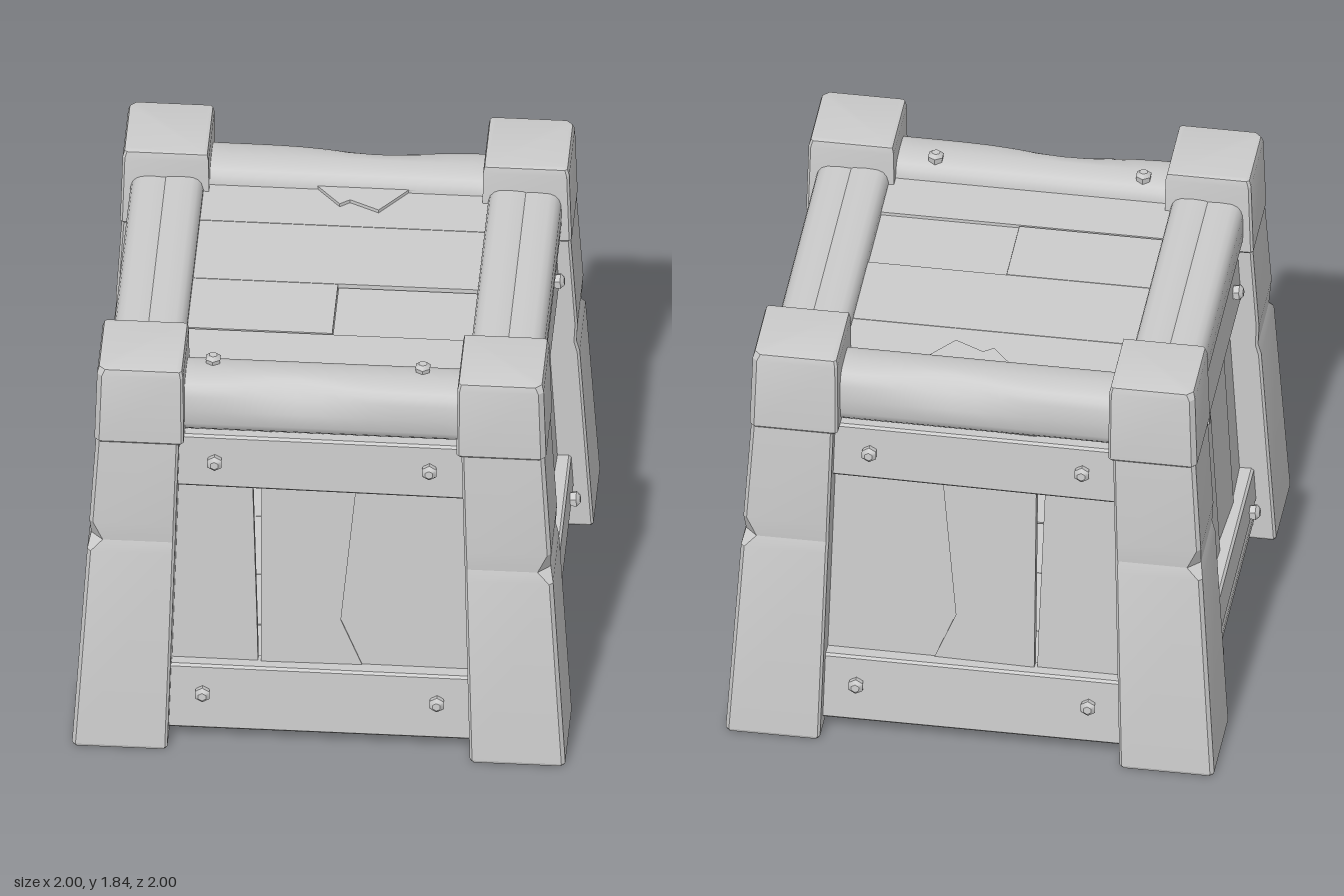
import * as THREE from 'three';
import { toCreasedNormals, mergeGeometries } from 'three/addons/utils/BufferGeometryUtils.js';

const wood = new THREE.MeshStandardMaterial({ color: 0xcccccc });
wood.name = 'pale grey';

function add(parent, name, geo) {
  const m = new THREE.Mesh(geo, wood);
  m.name = name;
  parent.add(m);
  return m;
}

// Closed skin over rings of [x, y, z] points, sharp where faces meet steeply
function loft(rings, crease) {
  const n = rings[0].length, idx = [];
  for (let r = 0; r < rings.length - 1; r++) {
    for (let j = 0; j < n; j++) {
      const a = r * n + j, b = r * n + (j + 1) % n;
      idx.push(a, b, b + n, a, b + n, a + n);
    }
  }
  const top = (rings.length - 1) * n;
  for (let j = 1; j < n - 1; j++) {
    idx.push(0, j + 1, j, top, top + j, top + j + 1);
  }
  const g = new THREE.BufferGeometry();
  g.setAttribute('position', new THREE.Float32BufferAttribute(rings.flat(2), 3));
  g.setIndex(idx);
  return toCreasedNormals(g, crease);
}

// Square corner section: i = inner side, o = outer side, c = cut on the outer edge
function corner(y, i, o, c) {
  const b = 0.01;
  return [[i, i], [i, o - b], [i + b, o], [o - c, o], [o, o - c], [o, i + b], [o - b, i]]
    .map(([x, z]) => [x, y, z]);
}

// Rounded beam along x, with an optional dent in its upper outer side
function beam(half, y, z, hy, hz, dent = 0) {
  const rings = [], soft = v => Math.sign(v) * Math.pow(Math.abs(v), 0.55);
  for (let s = 0; s <= 12; s++) {
    const x = half * (s / 6 - 1);
    const k = dent * Math.exp(-(((x + 0.12) / 0.22) ** 2));
    const ring = [];
    for (let j = 0; j < 20; j++) {
      const a = j / 20 * Math.PI * 2;
      const out = Math.max(0, Math.sin(2 * a)) * (a < Math.PI ? 1 : 0);
      ring.push([x, y + hy * soft(Math.cos(a)), z + hz * soft(Math.sin(a)) - k * out]);
    }
    rings.push(ring);
  }
  return loft(rings, 0.8);
}

// Flat board from an outline in x and y, front surface at z = 0
function board(points, depth, bevel = 0) {
  const shape = new THREE.Shape(points.map(p => new THREE.Vector2(...p)));
  const g = new THREE.ExtrudeGeometry(shape, {
    depth: depth - bevel, bevelEnabled: bevel > 0, bevelSegments: 1,
    bevelThickness: bevel, bevelSize: bevel, bevelOffset: -bevel
  });
  return g.translate(0, 0, -depth);
}

// Six-sided bolt head pointing along +z
function boltGeometry() {
  const shank = new THREE.CylinderGeometry(0.034, 0.03, 0.03, 6).translate(0, 0.01, 0);
  const dome = new THREE.CylinderGeometry(0.018, 0.034, 0.015, 6).translate(0, 0.0325, 0);
  return toCreasedNormals(mergeGeometries([shank, dome]).rotateX(Math.PI / 2), 0.8);
}

// Wall planks: outline, twist about the upright axis, and setback
const LOW = 0.08, HIGH = 1.5;
const frontPlanks = [
  { pts: [[-0.64, LOW], [-0.25, LOW], [-0.258, 0.5], [-0.28, 1.23], [-0.28, HIGH], [-0.62, HIGH]], tilt: 0, back: 0 },
  { pts: [[-0.243, LOW], [0.17, LOW], [0.165, 0.37], [0.08, 0.58], [0.14, 1.23], [0.14, HIGH], [-0.245, HIGH]], tilt: 0.02, back: 0 },
  { pts: [[0.06, LOW], [0.64, LOW], [0.62, HIGH], [0.06, HIGH]], tilt: 0, back: 0.008 }
];
const sidePlanks = [
  { pts: [[-0.64, LOW], [-0.38, LOW], [-0.38, HIGH], [-0.62, HIGH]], tilt: -0.03, back: 0 },
  { pts: [[-0.368, LOW], [-0.03, LOW], [-0.03, HIGH], [-0.374, HIGH]], tilt: 0.06, back: 0 },
  { pts: [[-0.04, LOW], [0.32, LOW], [0.32, HIGH], [-0.035, HIGH]], tilt: 0.04, back: 0 },
  { pts: [[0.31, LOW], [0.64, LOW], [0.62, HIGH], [0.31, HIGH]], tilt: -0.03, back: 0.005 }
];

function wall(name, planks, mirrored, isSide) {
  const face = new THREE.Group();
  face.name = name;
  // Sloping boards, rails and bolts
  const slope = new THREE.Group();
  slope.name = name + 'Slope';
  slope.position.z = 0.93;
  slope.rotation.x = -0.055;
  face.add(slope);
  planks.forEach(({ pts, tilt, back }) => {
    const p = mirrored ? pts.map(([x, y]) => [-x, y]).reverse() : pts;
    const mid = p.reduce((s, q) => s + q[0], 0) / p.length;
    const m = add(slope, 'wallPlank', board(p.map(([x, y]) => [x - mid, y]), 0.04));
    m.position.set(mid, 0, -0.055 - back);
    m.rotation.y = mirrored ? -tilt : tilt;
  });
  const low = isSide ? 0.2 : 0.06;
  add(slope, 'lowerRail', board([[-0.66, low], [0.66, low], [0.65, 0.365], [-0.65, 0.37]], 0.09, 0.01));
  add(slope, 'upperRail', board([[-0.62, 1.24], [0.62, 1.23], [0.62, 1.485], [-0.62, 1.49]], 0.09, 0.01));
  for (const [x, y] of [[-0.475, 0.24], [0.475, 0.24], [-0.43, 1.37], [0.44, 1.37]]) {
    add(slope, 'bolt', boltGeometry()).position.set(x, y, 0);
  }
  // Rounded beams at the top and bottom edges
  if (isSide) {
    add(face, 'topInnerBeam', beam(0.6, 1.61, 0.67, 0.12, 0.095));
    add(face, 'topOuterBeam', beam(0.6, 1.605, 0.775, 0.12, 0.1));
    add(face, 'bottomBeam', beam(0.66, 0.125, 0.78, 0.085, 0.13));
  } else {
    add(face, 'topBeam', beam(0.6, 1.605, 0.72, 0.125, 0.122, 0.04));
    add(face, 'bottomBeam', beam(0.66, 0.12, 0.75, 0.08, 0.12));
  }
  return face;
}

// Planks of the lid and floor as [x0, x1, z0, z1, sink], one snapped in two
function deck(parent, name, surface, facing) {
  const planks = [
    [-0.64, 0.64, -0.68, -0.363, 0], [-0.64, 0.64, -0.36, 0.025, 0],
    [-0.64, 0.01, 0.028, 0.357, 0], [0.013, 0.64, 0.035, 0.362, 0.012],
    [-0.64, 0.64, 0.365, 0.68, 0]
  ];
  for (const [x0, x1, z0, z1, sink] of planks) {
    add(parent, name, new THREE.BoxGeometry(x1 - x0, 0.06, z1 - z0))
      .position.set((x0 + x1) / 2, surface - facing * (sink + 0.03), (z0 + z1) / 2);
  }
}

export function createModel() {
  const crate = new THREE.Group();
  crate.name = 'woodenCrate';

  // Four walls
  ['front', 'right', 'back', 'left'].forEach((side, k) => {
    const isSide = k % 2 === 1;
    const w = wall(side + 'Wall', isSide ? sidePlanks : frontPlanks, k > 1, isSide);
    w.rotation.y = k * Math.PI / 2;
    crate.add(w);
  });

  // Bolts on top of the front beam
  for (const x of [-0.45, 0.4]) {
    const b = add(crate, 'topBolt', boltGeometry());
    b.position.set(x, 1.722, 0.665);
    b.rotation.x = -Math.PI / 2;
  }

  // Tapered corner posts with a chipped outer edge, and their caps
  [0.93, 0.95, 0.99, 1.0].forEach((chip, k) => {
    const post = new THREE.Group();
    post.name = 'cornerPost';
    post.rotation.y = k * Math.PI / 2;
    const at = (y, c, dent = 0) =>
      corner(y, 0.613 - 0.027 * y, 1 - 0.061 * y - dent, c);
    add(post, 'post', loft([
      corner(0, 0.62, 0.995, 0.015), at(0.012, 0.015), at(chip - 0.05, 0.015),
      at(chip, 0.05, 0.01), at(chip + 0.09, 0.015), at(1.52, 0.015)
    ], 0.3));
    add(post, 'postCap', loft([
      corner(1.48, 0.56, 0.908, 0.02), corner(1.49, 0.553, 0.915, 0.02),
      corner(1.81, 0.556, 0.905, 0.02), corner(1.838, 0.562, 0.897, 0.025),
      corner(1.842, 0.575, 0.883, 0.025)
    ], 0.3));
    crate.add(post);
  });

  deck(crate, 'lidPlank', 1.66, 1);
  deck(crate, 'floorPlank', 0.11, -1);

  // Splinter lifting off the back beam
  const splinter = add(crate, 'splinter',
    board([[-0.15, 0.64], [-0.02, 0.49], [0.02, 0.52], [0.14, 0.46], [0.25, 0.6], [0.56, 0.63], [0.56, 0.7], [-0.1, 0.7]], 0.05));
  splinter.rotation.x = -Math.PI / 2;
  splinter.position.y = 1.675;
  return crate;
}
